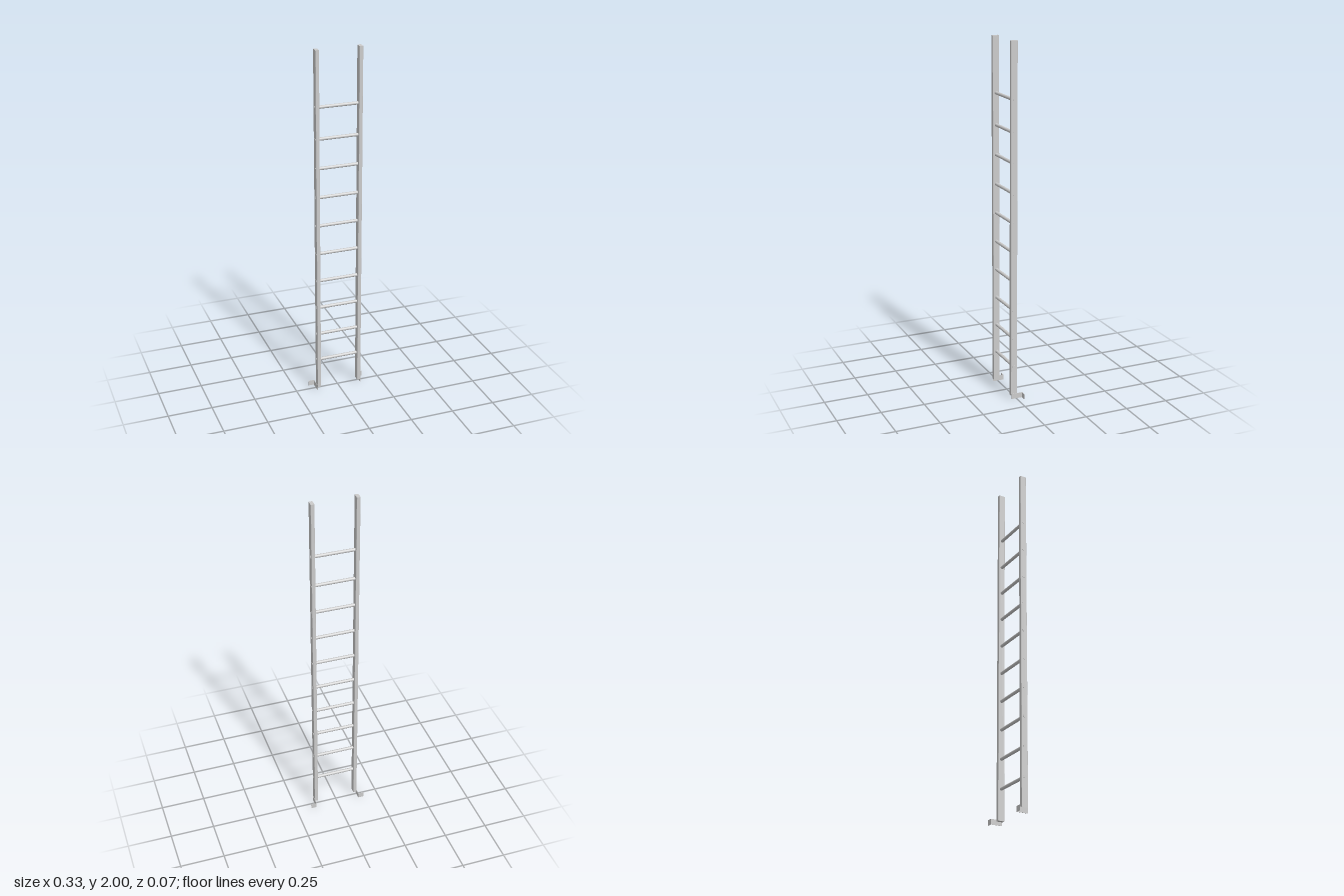
import * as THREE from 'three';

const material = new THREE.MeshStandardMaterial({ color: 0xcccccc });

function addMesh(parent, name, geometry, x, y, z) {
  const mesh = new THREE.Mesh(geometry, material);
  mesh.name = name;
  mesh.position.set(x, y, z);
  parent.add(mesh);
  return mesh;
}

// Rectangular bar section with small chamfered corners, extruded upwards
function railGeometry(width, depth, height, c) {
  const w = width / 2, d = depth / 2;
  const points = [
    [-w + c, -d], [w - c, -d], [w, -d + c], [w, d - c],
    [w - c, d], [-w + c, d], [-w, d - c], [-w, -d + c],
  ].map(([x, y]) => new THREE.Vector2(x, y));
  const geometry = new THREE.ExtrudeGeometry(new THREE.Shape(points), { depth: height, bevelEnabled: false });
  return geometry.rotateX(-Math.PI / 2);
}

export function createModel() {
  const ladder = new THREE.Group();
  ladder.name = 'ladder';

  // Side rails and L-shaped wall brackets at their feet
  const rail = railGeometry(0.02, 0.037, 1.98, 0.0015);
  for (const [side, s] of [['left', 1], ['right', -1]]) {
    addMesh(ladder, side + 'Rail', rail, s * 0.121, 0.02, 0.0135);

    const bracket = new THREE.Group();
    bracket.name = side + 'Bracket';
    addMesh(bracket, 'bracketPlate', new THREE.BoxGeometry(0.002, 0.03, 0.065), s * 0.132, 0.017, -0.0045);
    addMesh(bracket, 'bracketFlange', new THREE.BoxGeometry(0.033, 0.03, 0.002), s * 0.1475, 0.017, -0.036);
    bracket.position.y = -0.002;
    ladder.add(bracket);
  }

  // Evenly spaced round rungs passing through the rails, top gap slightly larger
  const rung = new THREE.CylinderGeometry(0.009, 0.009, 0.266, 24).rotateZ(Math.PI / 2);
  for (let i = 0; i < 10; i++) {
    const y = i < 9 ? 0.193 + i * 0.1655 : 1.692;
    addMesh(ladder, 'rung' + (i + 1), rung, 0, y, 0.013);
  }
  return ladder;
}
